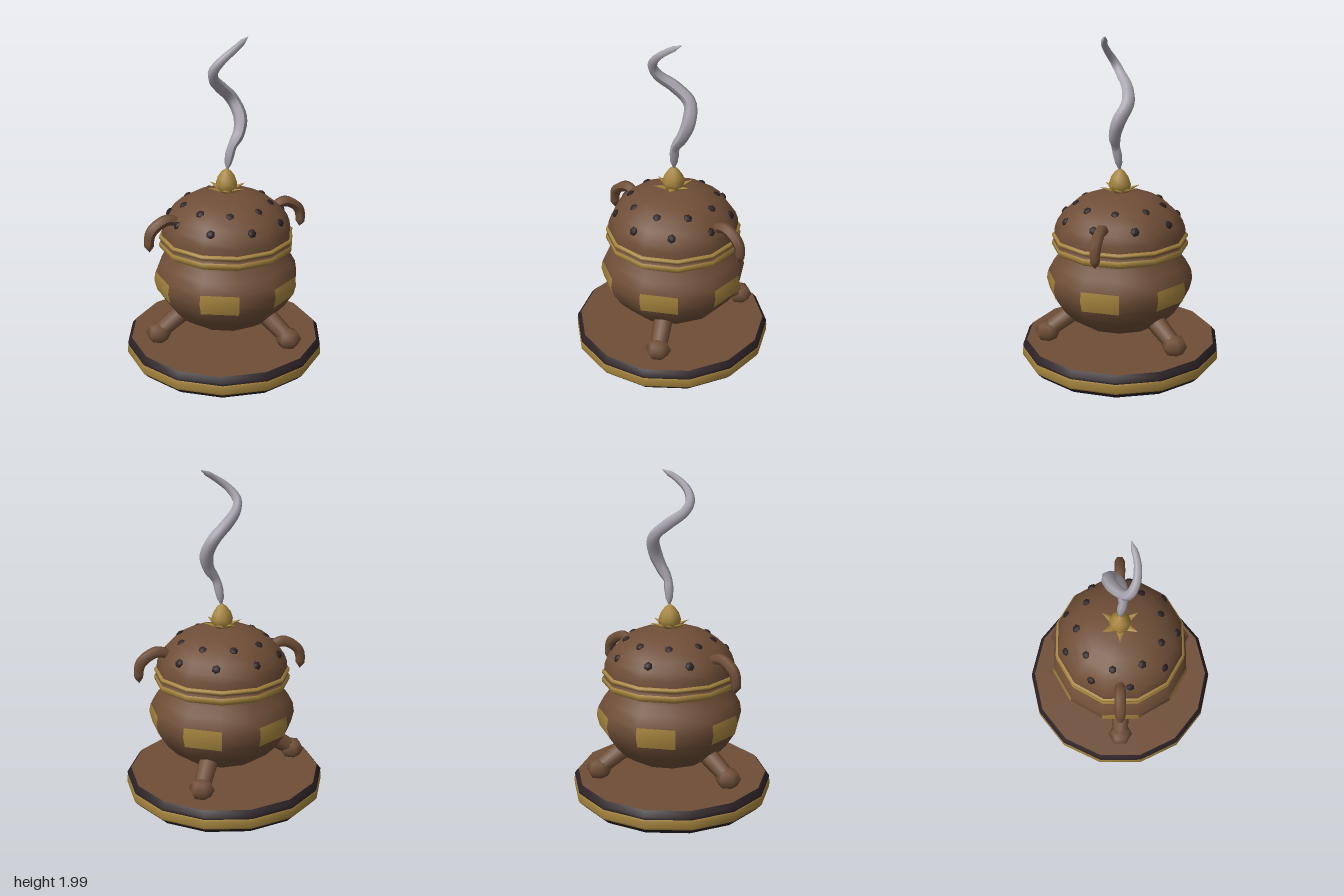
import * as THREE from 'three';

const paint = (name, color) => {
  const m = new THREE.MeshStandardMaterial({ color });
  m.name = name;
  return m;
};
const V = (x, y, z = 0) => new THREE.Vector3(x, y, z);

export function createModel() {
  const brown = paint('brown', 0x6f4e37);
  const gold = paint('gold', 0xa5843e);
  const dark = paint('dark', 0x2b2125);
  const grey = paint('smoke grey', 0xaaa6b2);

  const model = new THREE.Group();
  model.name = 'incenseBurner';

  const add = (parent, name, geometry, material) => {
    const mesh = new THREE.Mesh(geometry, material);
    mesh.name = name;
    parent.add(mesh);
    return mesh;
  };
  // Profile of [radius, y] pairs, listed so that the outside faces out
  const lathe = (profile, sides, start = 0, length = Math.PI * 2) =>
    new THREE.LatheGeometry(profile.map(([r, y]) => new THREE.Vector2(r, y)), sides, start, length);

  // Tube along a smooth path; radii are spread evenly over its length
  const taperedTube = (points, radii, segments, sides) => {
    const curve = new THREE.CatmullRomCurve3(points);
    const geo = new THREE.TubeGeometry(curve, segments, 1, sides);
    const pos = geo.attributes.position;
    const p = V(0, 0);
    for (let i = 0; i < pos.count; i++) {
      const t = Math.floor(i / (sides + 1)) / segments;
      const s = t * (radii.length - 1);
      const k = Math.min(Math.floor(s), radii.length - 2);
      const r = THREE.MathUtils.lerp(radii[k], radii[k + 1], s - k);
      const c = curve.getPointAt(t);
      p.fromBufferAttribute(pos, i).sub(c).multiplyScalar(r).add(c);
      pos.setXYZ(i, p.x, p.y, p.z);
    }
    geo.computeVertexNormals();
    return geo;
  };

  // Round stand
  const stand = new THREE.Group();
  stand.name = 'stand';
  model.add(stand);
  add(stand, 'standBottom', lathe([[0, 0], [0.565, 0]], 14), dark);
  add(stand, 'standLowerEdge', lathe([[0.565, 0], [0.6, 0.035]], 14), dark);
  add(stand, 'standBand', lathe([[0.6, 0.035], [0.61, 0.05], [0.61, 0.09], [0.605, 0.1]], 14), gold);
  add(stand, 'standUpperEdge', lathe([[0.605, 0.1], [0.608, 0.118], [0.583, 0.148]], 14), dark);
  add(stand, 'standTop', lathe([[0.583, 0.148], [0, 0.148]], 14), brown);

  // Everything above the stand shares one axis
  const burner = new THREE.Group();
  burner.name = 'burner';
  burner.position.x = 0.015;
  model.add(burner);

  // Twelve-sided pot and rim
  const turn = Math.PI / 12;
  const turned = (name, profile, material) => add(burner, name, lathe(profile, 12, turn), material);
  turned('potBottom', [[0, 0.26], [0.25, 0.26]], brown);
  turned('potBelly', [[0.25, 0.26], [0.31, 0.3], [0.375, 0.37], [0.425, 0.45], [0.442, 0.52],
    [0.433, 0.58], [0.4, 0.64], [0.362, 0.69], [0.35, 0.725]], brown);
  turned('lowerRim', [[0.35, 0.725], [0.395, 0.722], [0.41, 0.735], [0.412, 0.755], [0.405, 0.765]], gold);
  turned('rimGroove', [[0.405, 0.765], [0.395, 0.772], [0.398, 0.783]], brown);
  turned('upperRim', [[0.398, 0.783], [0.41, 0.79], [0.41, 0.803], [0.395, 0.81]], gold);
  turned('lid', [[0.396, 0.808], [0.392, 0.85], [0.375, 0.895], [0.34, 0.945], [0.285, 0.995],
    [0.21, 1.035], [0.12, 1.06], [0, 1.072]], brown);

  // Six inlaid panels, one on every other side of the belly
  const panelProfile = [[0.430, 0.453], [0.447, 0.52], [0.438, 0.575]];
  for (let i = 0; i < 6; i++) {
    const middle = Math.PI / 6 + i * Math.PI / 3;
    add(burner, 'panel', lathe(panelProfile, 1, middle - turn, turn * 2), gold);
  }

  // Two rings of studs on the lid, flattened along the surface
  const studGeo = new THREE.SphereGeometry(0.027, 6, 4);
  studGeo.scale(1, 0.6, 1);
  for (const [radius, y, start, nr, ny] of [[0.348, 0.922, 0, 0.85, 0.53], [0.262, 1.0, Math.PI, 0.52, 0.85]]) {
    for (let i = 0; i < 9; i++) {
      const a = start + i * Math.PI * 2 / 9;
      const stud = add(burner, 'stud', studGeo, dark);
      stud.position.set(radius * Math.sin(a), y, radius * Math.cos(a));
      stud.quaternion.setFromUnitVectors(V(0, 1), V(nr * Math.sin(a), ny, nr * Math.cos(a)).normalize());
    }
  }

  // Bud finial with a collar of petals
  add(burner, 'bud', lathe([[0.03, 1.05], [0.06, 1.08], [0.068, 1.115], [0.055, 1.155],
    [0.03, 1.19], [0, 1.212]], 8), gold);
  const petalGeo = new THREE.ConeGeometry(0.045, 0.13, 6);
  petalGeo.scale(1, 1, 0.4);
  petalGeo.translate(0, 0.065, 0);
  petalGeo.rotateX(1.25);
  for (let i = 0; i < 6; i++) {
    const petal = add(burner, 'petal', petalGeo, gold);
    petal.rotation.y = Math.PI / 6 + i * Math.PI / 3;
    petal.position.y = 1.062;
  }

  // Bent handles, mirrored
  for (const side of [1, -1]) {
    const path = [V(0.3, 0.89), V(0.335, 0.925), V(0.39, 0.942), V(0.46, 0.91), V(0.495, 0.87),
      V(0.505, 0.81), V(0.502, 0.757)].map((p) => V(p.x * side + 0.005, p.y));
    add(burner, side > 0 ? 'leftHandle' : 'rightHandle',
      taperedTube(path, [0.02, 0.03, 0.032, 0.034, 0.034, 0.034, 0.034, 0.032, 0.03, 0.028, 0], 20, 6), brown);
  }

  // Three splayed legs with knobbed feet
  const from = V(0, 0.36, 0.25);
  const to = V(0, 0.225, 0.45);
  const legGeo = new THREE.CylinderGeometry(0.062, 0.05, from.distanceTo(to), 8);
  legGeo.applyQuaternion(new THREE.Quaternion().setFromUnitVectors(V(0, 1), from.clone().sub(to).normalize()));
  legGeo.translate(0, (from.y + to.y) / 2, (from.z + to.z) / 2);
  const footGeo = new THREE.SphereGeometry(0.078, 6, 4);
  footGeo.scale(1, 0.82, 1);
  footGeo.translate(0, 0.219, 0.455);
  for (let i = 0; i < 3; i++) {
    const leg = new THREE.Group();
    leg.name = 'leg';
    leg.rotation.y = Math.PI / 6 + i * Math.PI * 2 / 3;
    add(leg, 'legShaft', legGeo, brown);
    add(leg, 'foot', footGeo, brown);
    burner.add(leg);
  }

  // Curling smoke
  const smokePath = [V(0.017, 1.19, 0), V(0.03, 1.29, 0.01), V(0.045, 1.35, 0.018), V(0.09, 1.42, 0.01),
    V(0.112, 1.51, -0.02), V(0.08, 1.61, -0.065), V(-0.01, 1.695, -0.035), V(-0.075, 1.755, 0.02),
    V(-0.092, 1.81, 0.055), V(-0.05, 1.875, 0.085), V(0.03, 1.935, 0.088), V(0.125, 1.99, 0.055)];
  add(model, 'smoke', taperedTube(smokePath,
    [0, 0.022, 0.028, 0.026, 0.034, 0.036, 0.04, 0.04, 0.038, 0.038, 0.036, 0.036, 0.034, 0.032, 0.03,
      0.027, 0.024, 0.022, 0.019, 0.017, 0], 40, 6), grey);

  return model;
}
